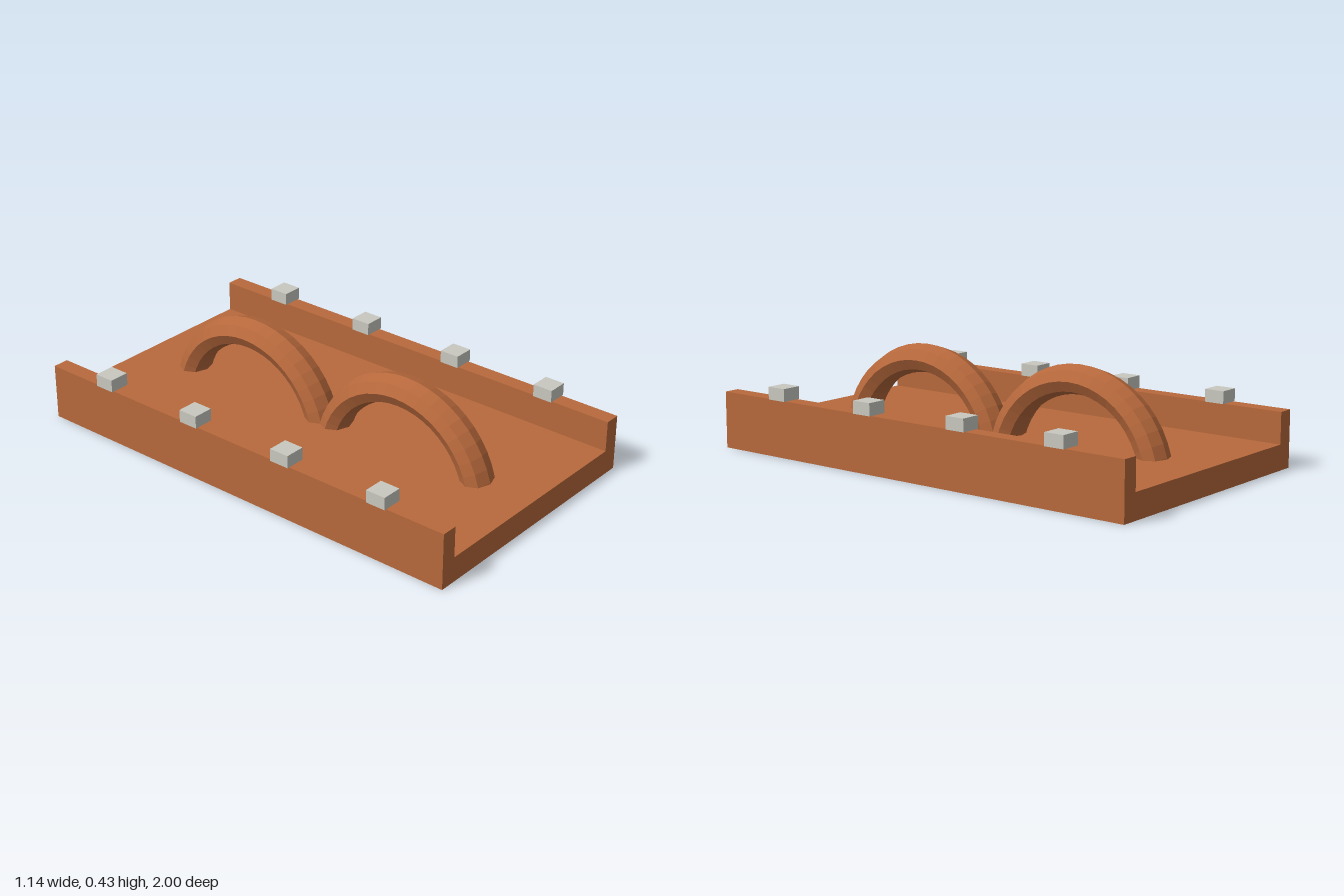
import * as THREE from 'three';

export function createModel() {
  const model = new THREE.Group();
  const clay = new THREE.MeshStandardMaterial({ color: 0xb8693c });
  clay.name = 'clay brown';
  clay.flatShading = true;
  const stone = new THREE.MeshStandardMaterial({ color: 0xc8c8c0 });
  stone.name = 'pale grey';

  const add = (name, geometry, material, x = 0, y = 0, z = 0) => {
    const mesh = new THREE.Mesh(geometry, material);
    mesh.name = name;
    mesh.position.set(x, y, z);
    model.add(mesh);
  };

  // Deck with a raised wall along each side: one U-shaped section
  const W = 0.563, INNER = 0.495, FLOOR = 0.105, WALL = 0.235;
  const section = new THREE.Shape([
    [-W, 0], [W, 0], [W, WALL], [INNER, WALL],
    [INNER, FLOOR], [-INNER, FLOOR], [-INNER, WALL], [-W, WALL],
  ].map(([x, y]) => new THREE.Vector2(x, y)));
  const deck = new THREE.ExtrudeGeometry(section, { depth: 2, bevelEnabled: false });
  deck.translate(0, 0, -1);
  add('walledDeck', deck, clay);

  // Two eight-sided arches, widened across x, rising from the deck
  const arch = new THREE.TorusGeometry(0.365, 0.06, 8, 24, Math.PI);
  arch.rotateY(Math.PI / 2).scale(1.27, 1, 1);
  add('frontArch', arch, clay, 0, 0, 0.39);
  add('backArch', arch, clay, 0, 0, -0.39);

  // Blocks spaced along the tops of both walls
  const block = new THREE.BoxGeometry(0.086, 0.052, 0.086);
  for (const side of [1, -1]) {
    for (const z of [-0.697, -0.235, 0.235, 0.697]) {
      add(side > 0 ? 'leftWallBlock' : 'rightWallBlock', block, stone, side * 0.529, 0.261, z);
    }
  }
  return model;
}
